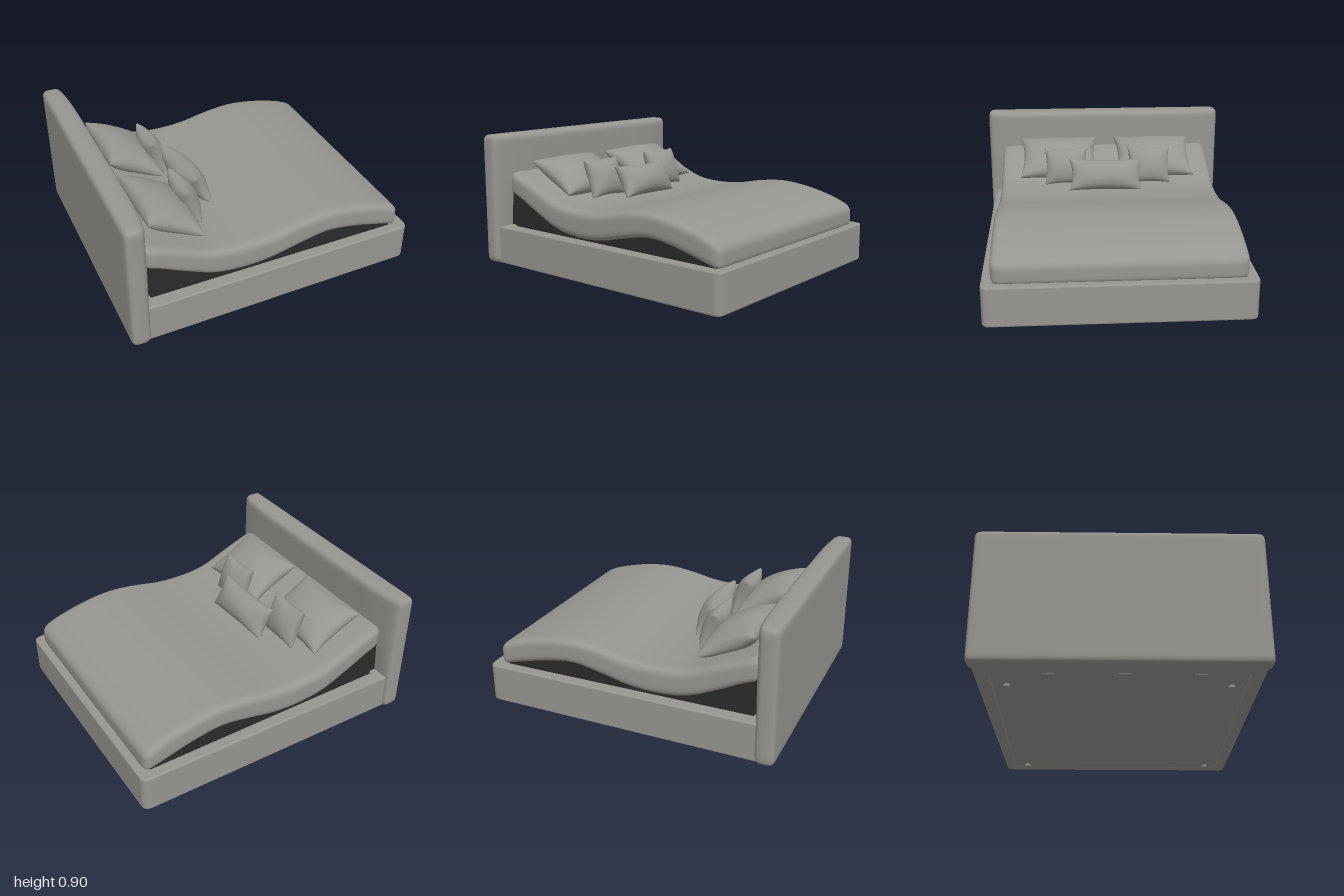
import * as THREE from 'three';
import { mergeVertices } from 'three/addons/utils/BufferGeometryUtils.js';

const fabric = new THREE.MeshStandardMaterial({ color: 0x979590 });
fabric.name = 'grey fabric';
const dark = new THREE.MeshStandardMaterial({ color: 0x2b2b2b });
dark.name = 'dark fabric';

// Move each vertex of a segmented unit box by a rule; vertices arrive as -1..1, denser near the edges
function shapedBox(sx, sy, sz, rule) {
  const geo = new THREE.BoxGeometry(2, 2, 2, sx, sy, sz);
  geo.deleteAttribute('uv');
  geo.deleteAttribute('normal');
  const pos = geo.attributes.position;
  const v = new THREE.Vector3();
  const ease = (t) => Math.sin((t * Math.PI) / 2);
  for (let i = 0; i < pos.count; i++) {
    v.fromBufferAttribute(pos, i);
    v.set(ease(v.x), ease(v.y), ease(v.z));
    rule(v);
    pos.setXYZ(i, v.x, v.y, v.z);
  }
  const merged = mergeVertices(geo, 1e-5);
  merged.computeVertexNormals();
  return merged;
}

// Turn a unit box point into a point on a box with half sizes h and rounded edges r
function roundPoint(v, h, r) {
  v.multiply(h);
  const limit = h.clone().subScalar(r);
  const inner = v.clone().clamp(limit.clone().negate(), limit);
  v.sub(inner).setLength(r).add(inner);
}

// Height curve through values spaced evenly from x = -1 to x = 1
function heightCurve(values) {
  const step = 2 / (values.length - 1);
  const curve = new THREE.SplineCurve(values.map((y, i) => new THREE.Vector2(-1 + i * step, y)));
  return (x) => curve.getPoint((x + 1) / 2).y;
}
const mattressTop = heightCurve([0.69, 0.635, 0.56, 0.48, 0.457, 0.467, 0.505, 0.525, 0.505, 0.457, 0.385]);
const mattressBottom = heightCurve([0.52, 0.475, 0.38, 0.295, 0.268, 0.28, 0.325, 0.36, 0.335, 0.285, 0.24]);

// Cushion with pinched edges and pointed corners
function cushionGeometry(w, h, t) {
  return shapedBox(24, 24, 1, (v) => {
    const a = 1 - v.x * v.x;
    const b = 1 - v.y * v.y;
    const fold = 1 + 0.05 * Math.sin(v.x * 7 + v.y * 3) * (1 - a * b);
    const z = Math.sign(v.z) * (0.004 + t * Math.pow(a * b, 0.45) * fold);
    v.set(w * v.x * (1 - 0.09 * b), h * v.y * (1 - 0.1 * a), z);
  });
}

export function createModel() {
  const model = new THREE.Group();
  model.name = 'bed';
  const add = (name, geo, mat = fabric) => {
    const mesh = new THREE.Mesh(geo, mat);
    mesh.name = name;
    model.add(mesh);
    return mesh;
  };

  // Padded headboard, fuller at the front of its upper part
  const headHalf = new THREE.Vector3(0.063, 0.446, 0.892);
  add('headboard', shapedBox(10, 28, 28, (v) => {
    const swell = THREE.MathUtils.smoothstep(v.y, -0.6, 0.3) * (1 - Math.pow(v.z, 6));
    roundPoint(v, headHalf, 0.04);
    if (v.x > 0) v.x += 0.032 * swell * (v.x / 0.063);
    v.x -= 0.937;
    v.y += 0.456;
  }));

  // Frame rails: a ring tapering slightly to the foot, with rounded foot corners
  const b = 0.012;
  const rail = new THREE.Shape();
  rail.moveTo(-0.89, -0.862 + b);
  rail.lineTo(0.94, -0.842 + b);
  rail.quadraticCurveTo(0.997 - b, -0.842 + b, 0.997 - b, -0.79);
  rail.lineTo(0.997 - b, 0.79);
  rail.quadraticCurveTo(0.997 - b, 0.842 - b, 0.94, 0.842 - b);
  rail.lineTo(-0.89, 0.862 - b);
  rail.closePath();
  const opening = new THREE.Path();
  opening.moveTo(-0.84, -0.78);
  opening.lineTo(-0.84, 0.78);
  opening.lineTo(0.935, 0.78);
  opening.lineTo(0.935, -0.78);
  opening.closePath();
  rail.holes.push(opening);
  const railGeo = new THREE.ExtrudeGeometry(rail, {
    depth: 0.26 - 2 * b, bevelThickness: b, bevelSize: b, bevelSegments: 3, curveSegments: 8,
  });
  railGeo.rotateX(-Math.PI / 2).translate(0, 0.011 + b, 0);
  add('frameRails', railGeo);

  // Bottom panel set inside the rails
  add('bottomPanel', new THREE.BoxGeometry(1.75, 0.23, 1.535).translate(0.0475, 0.13, 0));

  // Small feet
  for (const x of [-0.66, 0.87]) {
    for (const z of [-0.68, 0.68]) {
      add('foot', new THREE.CylinderGeometry(0.02, 0.02, 0.02, 16)).position.set(x, 0.01, z);
    }
  }

  // Dark raised support filling the space beneath the mattress
  const side = new THREE.Shape();
  side.moveTo(-0.88, 0.24);
  side.lineTo(0.9, 0.24);
  for (let i = 0; i <= 40; i++) {
    const x = 0.9 - (i / 40) * 1.78;
    side.lineTo(x, Math.max(0.245, mattressBottom(x) + 0.015));
  }
  add('adjustableSupport', new THREE.ExtrudeGeometry(side, { depth: 1.5, bevelEnabled: false }).translate(0, 0, -0.75), dark);

  // Mattress bent along the two height curves
  const mattressHalf = new THREE.Vector3(0.905, 0.1, 0.783);
  add('mattress', shapedBox(48, 14, 36, (v) => {
    roundPoint(v, mattressHalf, 0.055);
    v.x += 0.043;
    const k = (v.y + 0.1) / 0.2;
    v.y = THREE.MathUtils.lerp(mattressBottom(v.x), mattressTop(v.x), k);
  }));

  // Cushions: half width, half height, half thickness, then position, lean and turn
  const cushion = (name, size, position, lean, turn = 0) => {
    const mesh = add(name, cushionGeometry(...size));
    mesh.position.set(...position);
    mesh.rotation.set(0, Math.PI / 2 + turn, lean, 'ZYX');
  };
  for (const s of [-1, 1]) {
    cushion('sleepingPillow', [0.285, 0.205, 0.095], [-0.59, 0.61, s * 0.355], 1.08);
    cushion('squareCushion', [0.155, 0.135, 0.07], [-0.405, 0.595, s * 0.305], 0.35);
  }
  cushion('lumbarCushion', [0.265, 0.115, 0.085], [-0.285, 0.56, 0.02], 0.5, 0.08);

  return model;
}
